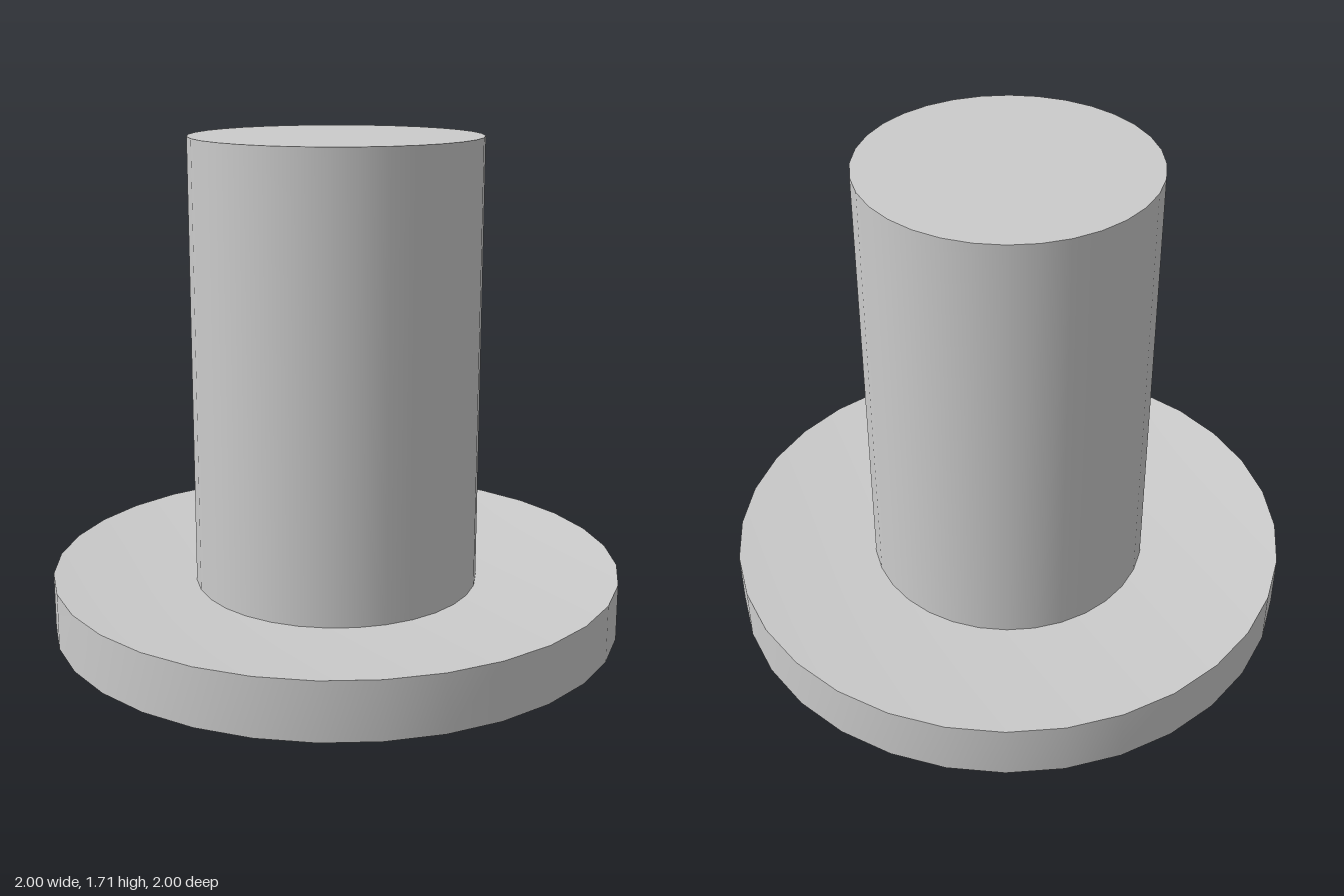
import * as THREE from 'three';
import { toCreasedNormals } from 'three/addons/utils/BufferGeometryUtils.js';

const SIDES = 32;

// Disc whose top and underside both slope gently in to a shared centre
function dishedDisc(radius, height) {
  const geometry = new THREE.CylinderGeometry(radius, radius, height, SIDES);
  const pos = geometry.attributes.position;
  for (let i = 0; i < pos.count; i++) {
    if (Math.hypot(pos.getX(i), pos.getZ(i)) < 0.01) pos.setY(i, 0);
  }
  return toCreasedNormals(geometry, 0.6);
}

export function createModel() {
  const group = new THREE.Group();
  group.name = 'topHat';
  const material = new THREE.MeshStandardMaterial({ color: 0xcccccc });

  // Wide brim, hollowed towards the middle on both faces
  const brim = new THREE.Mesh(dishedDisc(1, 0.2), material);
  brim.name = 'brim';
  brim.position.y = 0.1;

  // Tall straight crown, sunk into the hollow of the brim
  const bottom = 0.15, top = 1.71;
  const crown = new THREE.Mesh(new THREE.CylinderGeometry(0.5, 0.5, top - bottom, SIDES), material);
  crown.name = 'crown';
  crown.position.y = (top + bottom) / 2;

  group.add(brim, crown);
  return group;
}
